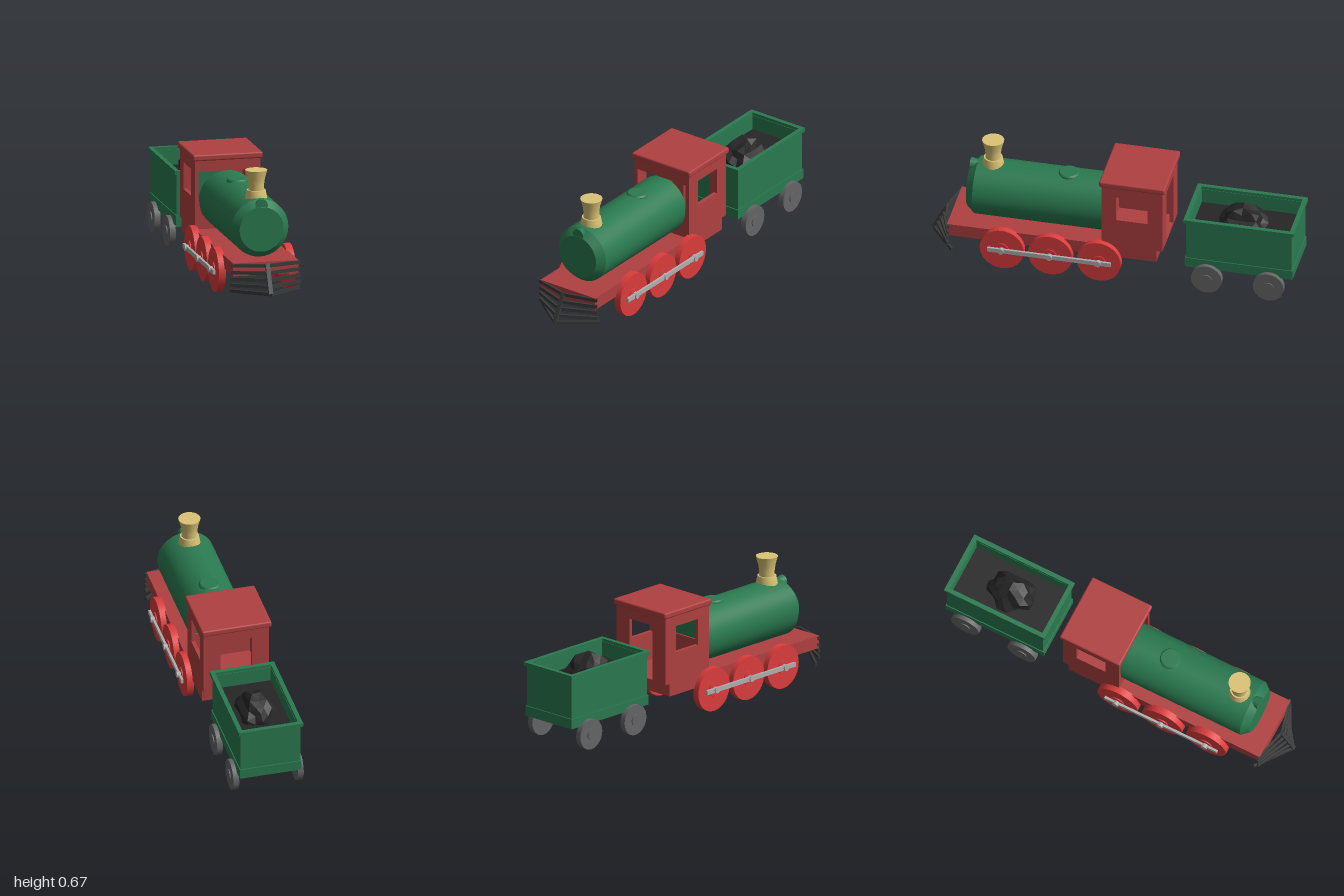
import * as THREE from 'three';
import { toCreasedNormals } from 'three/addons/utils/BufferGeometryUtils.js';
import { RoundedBoxGeometry } from 'three/addons/geometries/RoundedBoxGeometry.js';

const mat = (color, extra = {}) => new THREE.MeshStandardMaterial({ color, ...extra });
const red = mat(0xb04040), wheelRed = mat(0xdd3c3c), green = mat(0x2a7a50), brass = mat(0xdcc476);
const dark = mat(0x3a3a3a), wheelGrey = mat(0x666668), steel = mat(0xb0b0b0);
const coalMat = mat(0x262626, { flatShading: true });

export function createModel() {
  const model = new THREE.Group();
  const group = (name) => {
    const g = new THREE.Group();
    g.name = name;
    model.add(g);
    return g;
  };
  const add = (parent, name, geo, material, x = 0, y = 0, z = 0) => {
    const m = new THREE.Mesh(geo, material);
    m.name = name;
    m.position.set(x, y, z);
    parent.add(m);
    return m;
  };
  // box given by its limits on each axis
  const block = (parent, name, material, [x0, x1], [y0, y1], [z0, z1]) =>
    add(parent, name, new THREE.BoxGeometry(x1 - x0, y1 - y0, z1 - z0), material,
      (x0 + x1) / 2, (y0 + y1) / 2, (z0 + z1) / 2);
  const lathe = (pts, n) => toCreasedNormals(
    new THREE.LatheGeometry(pts.map(([r, h]) => new THREE.Vector2(r, h)), n), 0.4);
  // cylinder lying along x
  const disc = (r, w, n = 32) => new THREE.CylinderGeometry(r, r, w, n).rotateZ(Math.PI / 2);

  // --- Engine: chassis and boiler ---
  const engine = group('engine');
  block(engine, 'chassis', red, [-0.178, 0.178], [0.145, 0.215], [-0.257, 0.875]);
  add(engine, 'boiler', lathe([[0, 0.03], [0.155, 0.03], [0.155, 0.745], [0.12, 0.786], [0, 0.786]], 36)
    .rotateX(Math.PI / 2), green, 0, 0.37, 0);
  add(engine, 'headLamp', new THREE.CylinderGeometry(0.034, 0.022, 0.06, 24).rotateX(Math.PI / 2),
    green, 0, 0.499, 0.755);
  add(engine, 'steamDome', lathe([[0.057, 0.49], [0.057, 0.522], [0.05, 0.53], [0, 0.531]], 24),
    green, 0, 0, 0.255);
  add(engine, 'chimney', lathe([[0, 0.5], [0.059, 0.5], [0.058, 0.52], [0.05, 0.56], [0.042, 0.56],
    [0.042, 0.59], [0.046, 0.62], [0.059, 0.667], [0, 0.667]], 20), brass, 0, 0, 0.665);

  // --- Cab ---
  const cab = group('cab');
  const sideShape = new THREE.Shape([[-0.29, 0.215], [0.04, 0.215], [0.04, 0.59], [-0.29, 0.59]]
    .map(([z, y]) => new THREE.Vector2(z, y)));
  sideShape.holes.push(new THREE.Path([[-0.21, 0.38], [-0.21, 0.525], [-0.04, 0.525], [-0.04, 0.38]]
    .map(([z, y]) => new THREE.Vector2(z, y))));
  const sideGeo = new THREE.ExtrudeGeometry(sideShape, { depth: 0.021, bevelEnabled: false })
    .rotateY(-Math.PI / 2);
  add(cab, 'leftWall', sideGeo, red, 0.178);
  add(cab, 'rightWall', sideGeo, red, -0.157);
  const inner = [-0.157, 0.157], frontZ = [0.02, 0.04], backZ = [-0.29, -0.27];
  block(cab, 'frontPanel', red, inner, [0.215, 0.38], frontZ);
  block(cab, 'frontHeader', red, inner, [0.526, 0.59], frontZ);
  block(cab, 'backHeader', red, inner, [0.526, 0.59], backZ);
  block(cab, 'doorJamb', red, [0.085, 0.157], [0.215, 0.526], backZ);
  block(cab, 'doorJamb', red, [-0.157, -0.085], [0.215, 0.526], backZ);
  block(cab, 'cabFloor', red, inner, [0.215, 0.225], [-0.29, 0.02]);
  add(cab, 'roof', new RoundedBoxGeometry(0.38, 0.034, 0.356, 3, 0.009), red, 0, 0.601, -0.127);

  // --- Driving wheels, hubs and coupling rods ---
  const wheels = group('drivingWheels');
  for (const s of [-1, 1]) {
    for (const z of [0.572, 0.311, 0.048]) {
      add(wheels, 'drivingWheel', disc(0.119, 0.038), wheelRed, s * 0.19, 0.119, z);
      add(wheels, 'hub', disc(0.038, 0.02, 24), wheelRed, s * 0.205, 0.12, z);
      add(wheels, 'crankPin', disc(0.017, 0.03, 12), steel, s * 0.222, 0.12, z);
    }
    add(wheels, 'couplingRod', new THREE.BoxGeometry(0.013, 0.024, 0.668), steel, s * 0.223, 0.12, 0.313);
  }

  // --- Cowcatcher: V-shaped bars and a sloping centre post ---
  const catcher = group('cowcatcher');
  const bar = (name, a, b, w, h) => {
    const from = new THREE.Vector3(...a), to = new THREE.Vector3(...b);
    const m = add(catcher, name, new THREE.BoxGeometry(w, h, from.distanceTo(to)), dark);
    m.position.copy(from).add(to).multiplyScalar(0.5);
    m.lookAt(to);
  };
  [0.202, 0.166, 0.132, 0.098, 0.063].forEach((y, i) => {
    const tip = 0.915 + i * 0.018, end = i === 4 ? 0.845 : 0.868;
    for (const s of [-1, 1]) bar('catcherBar', [s * 0.188, y, end], [0, y, tip], 0.012, 0.018);
  });
  bar('centrePost', [0, 0.211, 0.912], [0, 0.063, 0.988], 0.023, 0.014);

  // --- Tender ---
  const tender = group('tender');
  const ring = (x, z, wall, height) => {
    const rect = (T, hx, hz) => new T([[-hx, -hz], [hx, -hz], [hx, hz], [-hx, hz]]
      .map(([a, b]) => new THREE.Vector2(a, b)));
    const shape = rect(THREE.Shape, x, z);
    shape.holes.push(rect(THREE.Path, x - wall, z - wall));
    return new THREE.ExtrudeGeometry(shape, { depth: height, bevelEnabled: false }).rotateX(-Math.PI / 2);
  };
  const tz = -0.7;
  add(tender, 'tenderWalls', ring(0.164, 0.285, 0.014, 0.23), green, 0, 0.187, tz);
  add(tender, 'tenderRim', ring(0.176, 0.298, 0.024, 0.02), green, 0, 0.413, tz);
  block(tender, 'tenderBase', green, [-0.169, 0.169], [0.135, 0.19], [tz - 0.291, tz + 0.291]);
  block(tender, 'coalBed', coalMat, [-0.152, 0.152], [0.19, 0.335], [tz - 0.273, tz + 0.273]);
  for (const z of [-0.53, -0.865]) {
    block(tender, 'axleBeam', green, [-0.156, 0.156], [0.107, 0.137], [z - 0.025, z + 0.025]);
    for (const s of [-1, 1]) {
      add(tender, 'tenderWheel', disc(0.083, 0.032, 24), wheelGrey, s * 0.176, 0.083, z);
      add(tender, 'tenderHub', disc(0.03, 0.012, 16), wheelGrey, s * 0.192, 0.083, z);
    }
  }

  // jagged coal heap: a sphere roughened by a position-based rule
  const heap = new THREE.IcosahedronGeometry(1, 2);
  const p = heap.attributes.position, v = new THREE.Vector3();
  for (let i = 0; i < p.count; i++) {
    v.fromBufferAttribute(p, i);
    const n = Math.sin(Math.round(v.x * 50) * 12.9 + Math.round(v.y * 50) * 78.2 + Math.round(v.z * 50) * 37.7);
    v.multiplyScalar(0.88 + 0.14 * n);
    p.setXYZ(i, v.x * 0.115, v.y * 0.122, v.z * 0.15);
  }
  heap.computeVertexNormals();
  add(tender, 'coalHeap', heap, coalMat, 0, 0.335, -0.69);

  return model;
}
